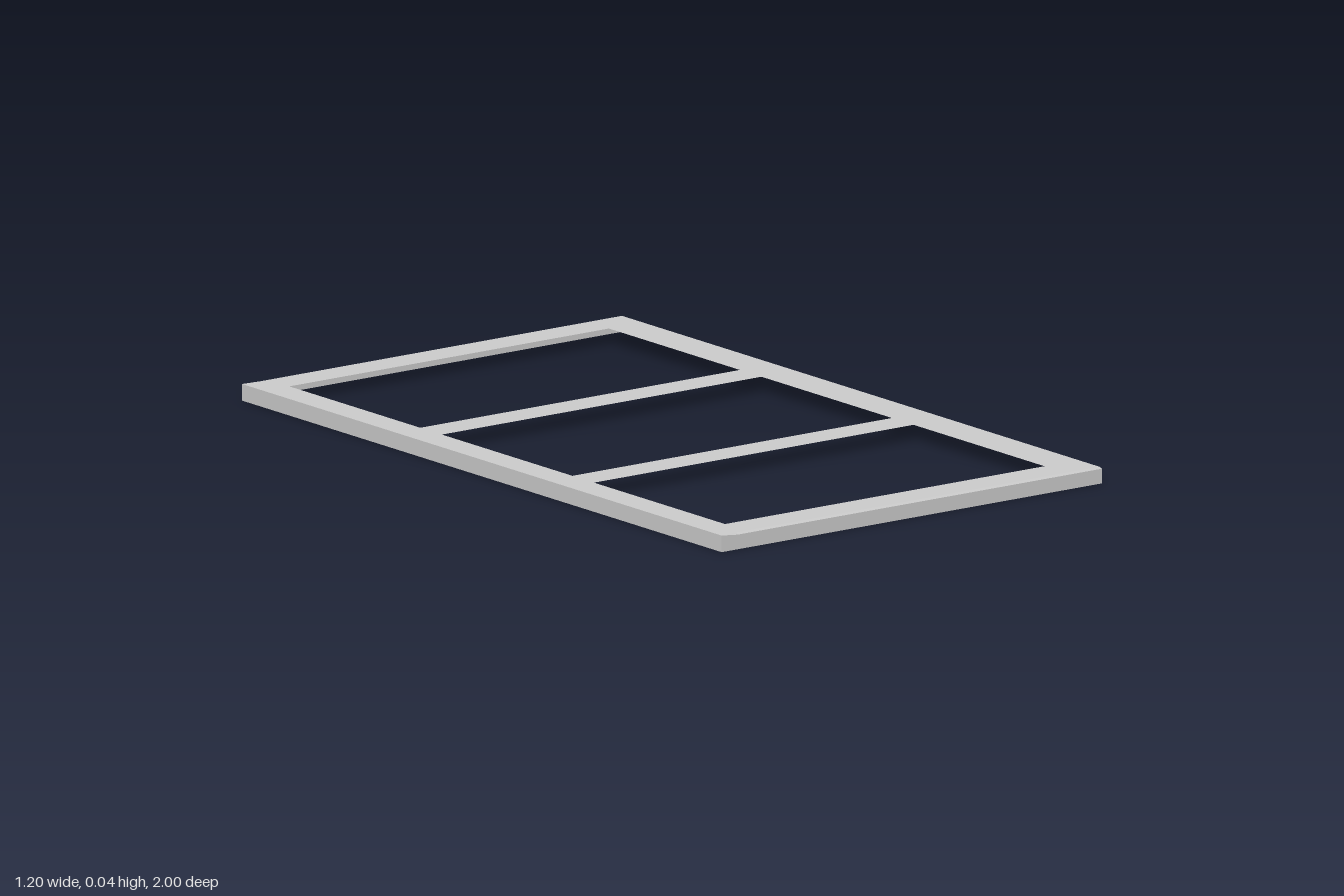
import * as THREE from 'three';

const W = 0.6, L = 1, H = 0.043, B = 0.005; // half width, half length, height, edge bevel
const RAIL = -0.52;                         // inner edge of the folded rail

const material = new THREE.MeshStandardMaterial({
  color: 0xcccccc, side: THREE.DoubleSide, flatShading: true,
});

// Quad strip between neighbouring rows of points
function sheet(name, rows) {
  const pos = [];
  for (let i = 0; i < rows.length - 1; i++) {
    for (let j = 0; j < rows[i].length - 1; j++) {
      const a = rows[i][j], b = rows[i + 1][j], c = rows[i + 1][j + 1], d = rows[i][j + 1];
      pos.push(...a, ...b, ...c, ...a, ...c, ...d);
    }
  }
  const g = new THREE.BufferGeometry();
  g.setAttribute('position', new THREE.Float32BufferAttribute(pos, 3));
  g.computeVertexNormals();
  const m = new THREE.Mesh(g, material);
  m.name = name;
  return m;
}

export function createModel() {
  const group = new THREE.Group();
  group.name = 'framePanel';

  // Outline shared by top plate (inset) and skirt (outer); bevel fades out at the rail
  const inner = [[-W, L], [-0.55, L - B], [W - B, L - B], [W - B, B - L], [-0.55, B - L], [-W, -L]];
  const outer = [[-W, L], [-0.55, L], [W, L], [W, -L], [-0.55, -L], [-W, -L]];

  // Top plate with three openings
  const shape = new THREE.Shape(inner.map(([x, z]) => new THREE.Vector2(x, z)));
  for (const [z0, z1] of [[-0.908, -0.362], [-0.272, 0.272], [0.362, 0.908]]) {
    shape.holes.push(new THREE.Path([
      new THREE.Vector2(RAIL, z0), new THREE.Vector2(0.488, z0),
      new THREE.Vector2(0.488, z1), new THREE.Vector2(RAIL, z1),
    ]));
  }
  const plate = new THREE.Mesh(new THREE.ShapeGeometry(shape).rotateX(-Math.PI / 2), material);
  plate.name = 'topPlate';
  plate.position.y = H;
  group.add(plate);

  // Bevelled skirt around the front, left and back
  group.add(sheet('skirt', outer.map(([x, z], i) => [
    [inner[i][0], H, inner[i][1]],
    [x, i % 5 === 0 ? H : H - B, z],
    [x, 0, z],
  ].reverse())));

  // Folded rail on the right side: outer wall and bottom flange
  group.add(sheet('foldedRail', [L, -L].map((z) => [
    [-W, H, z], [-W, 0, z], [RAIL, 0, z],
  ].reverse())));

  return group;
}
